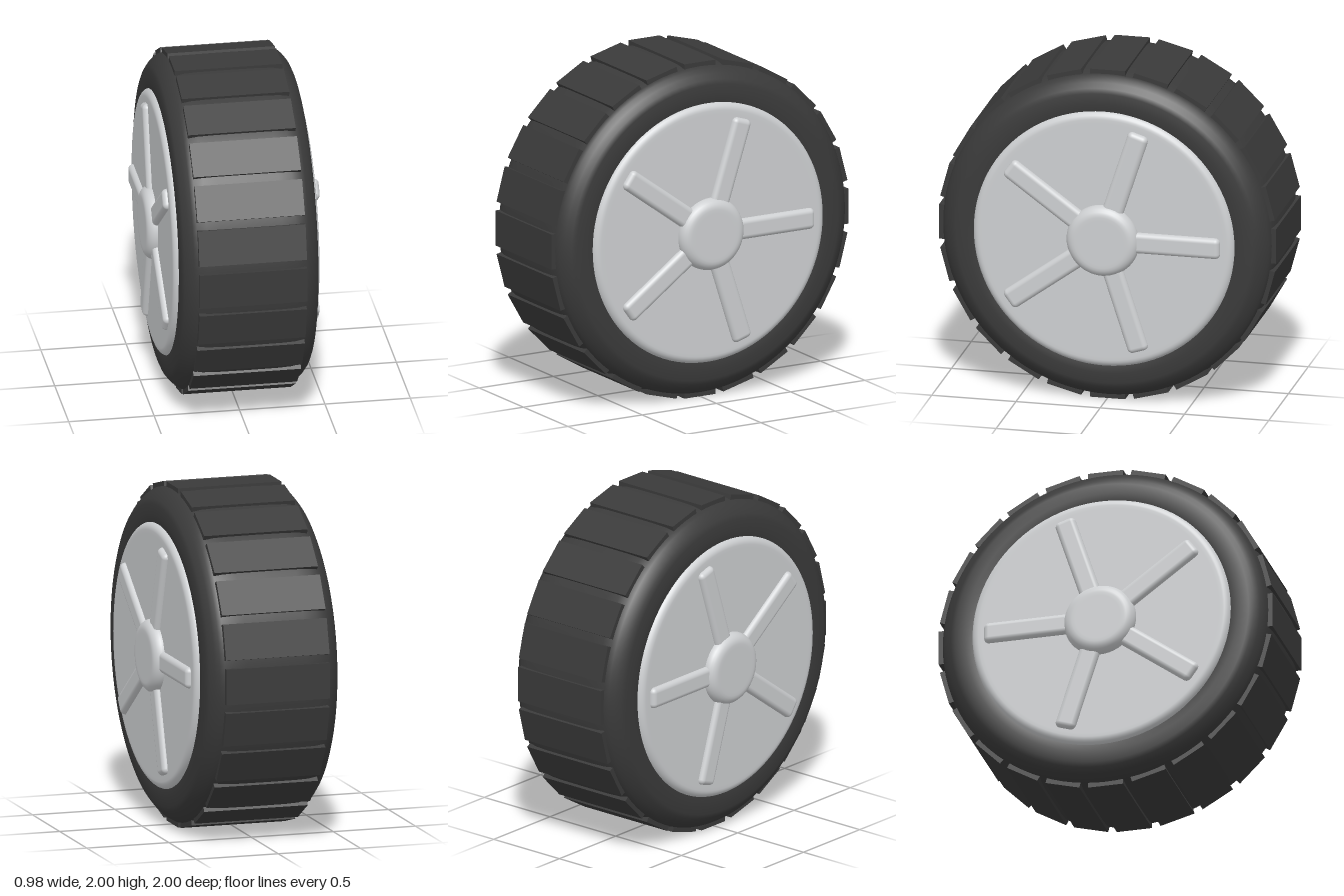
import * as THREE from 'three';
import { RoundedBoxGeometry } from 'three/addons/geometries/RoundedBoxGeometry.js';

const TREADS = 24, SPOKES = 5;

// Solid of revolution about the x axle; the half profile [x, radius] is mirrored in x
function turned(half, segments) {
  const left = half.map(([x, r]) => new THREE.Vector2(r, -x));
  const right = half.map(([x, r]) => new THREE.Vector2(r, x)).reverse();
  return new THREE.LatheGeometry([...left, ...right], segments).rotateZ(-Math.PI / 2);
}

// Disc half profile: flat face at x = face, rounded rim of radius r
function discProfile(face, r, round, inner) {
  const pts = [[face, 0], [face, r - round - 0.02], [face, r - round]];
  for (let i = 1; i <= 6; i++) {
    const a = (i / 6) * Math.PI / 2;
    pts.push([face - round + round * Math.cos(a), r - round + round * Math.sin(a)]);
  }
  pts.push([inner, r]);
  return pts;
}

export function createModel() {
  const rubber = new THREE.MeshStandardMaterial({ color: 0x3a3a3a });
  rubber.name = 'rubber';
  const metal = new THREE.MeshStandardMaterial({ color: 0xcdcfd1 });
  metal.name = 'metal';

  const wheel = new THREE.Group();
  wheel.name = 'wheel';
  const add = (name, geometry, material, parent = wheel) => {
    const mesh = new THREE.Mesh(geometry, material);
    mesh.name = name;
    parent.add(mesh);
    return mesh;
  };

  // Tyre with a slight crown and rounded shoulders
  add('tyre', turned([
    [0.38, 0.72], [0.40, 0.76], [0.402, 0.82], [0.40, 0.88], [0.388, 0.908],
    [0.365, 0.938], [0.34, 0.961], [0.315, 0.975], [0.26, 0.986], [0.18, 0.99], [0.02, 0.991],
  ], 96), rubber);

  // Tread blocks around the tyre
  const treads = new THREE.Group();
  treads.name = 'treads';
  wheel.add(treads);
  const block = new THREE.BoxGeometry(0.63, 0.04, 0.21).translate(0, 0.98, 0);
  for (let i = 0; i < TREADS; i++) {
    add('treadBlock', block, rubber, treads).rotation.x = (i / TREADS) * Math.PI * 2;
  }

  // Rim disc and hub run right through the wheel
  add('rim', turned(discProfile(0.43, 0.777, 0.045, 0.02), 96), metal);
  add('hub', turned(discProfile(0.49, 0.215, 0.06, 0.02), 48), metal);

  // Five spokes on each face, one pointing straight back
  const spoke = new RoundedBoxGeometry(0.08, 0.125, 0.555, 4, 0.03);
  for (const side of [1, -1]) {
    const spokes = new THREE.Group();
    spokes.name = side > 0 ? 'leftSpokes' : 'rightSpokes';
    wheel.add(spokes);
    for (let i = 0; i < SPOKES; i++) {
      const arm = new THREE.Group();
      arm.name = 'spokeArm';
      arm.rotation.x = (i / SPOKES) * Math.PI * 2;
      spokes.add(arm);
      add('spoke', spoke, metal, arm).position.set(side * 0.42, 0, -0.4175);
    }
  }

  wheel.position.y = 1;
  const model = new THREE.Group();
  model.name = 'model';
  model.add(wheel);
  return model;
}
